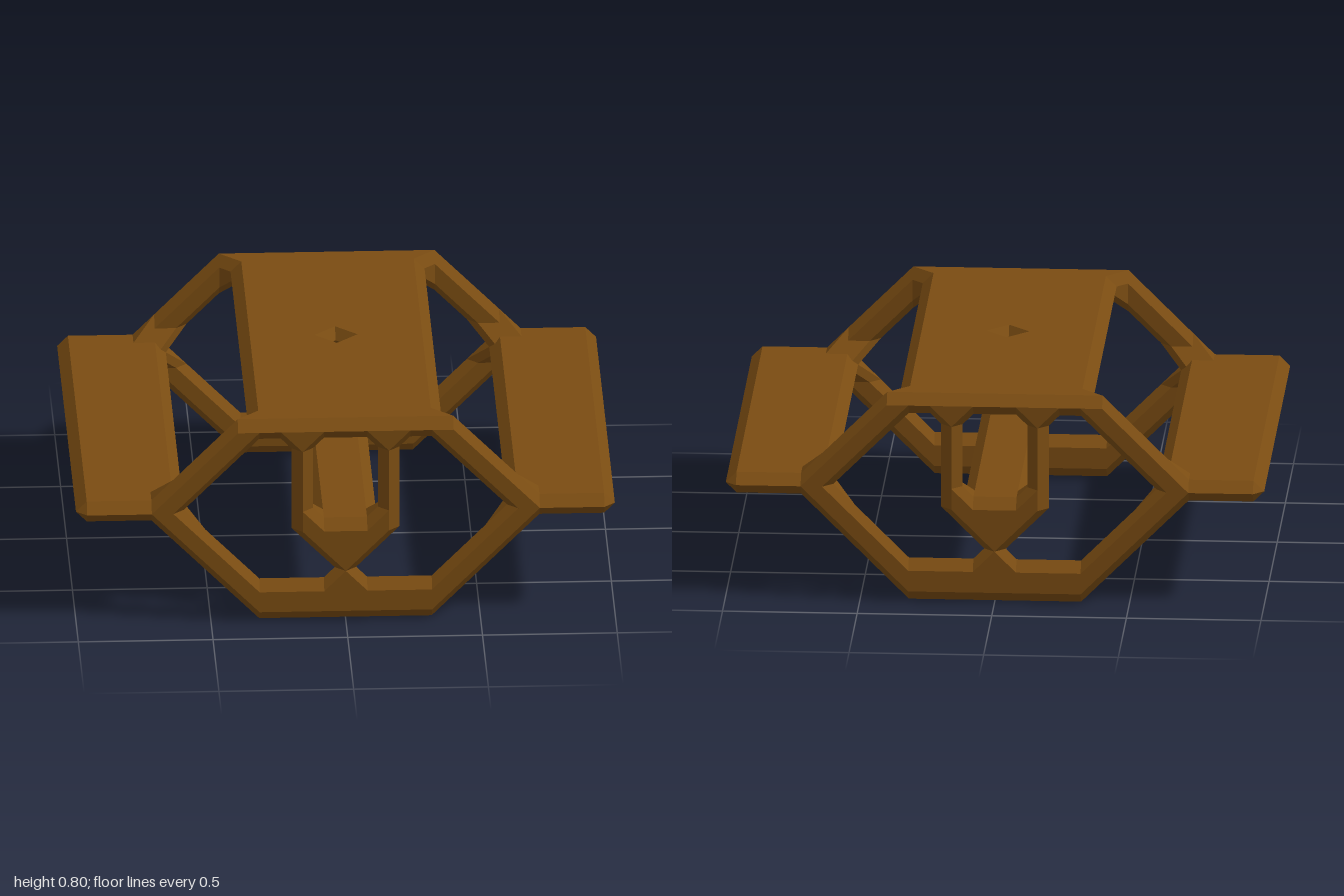
import * as THREE from 'three';
import { ConvexGeometry } from 'three/addons/geometries/ConvexGeometry.js';
import { mergeGeometries } from 'three/addons/utils/BufferGeometryUtils.js';

const R = 0.04; // chamfer radius shared by every edge
const END = 0.8, IN = 0.72; // frame centre plane, and where its gussets end

const material = new THREE.MeshStandardMaterial({ color: 0x7a4c12, flatShading: true });

// Convex solid: a flat skeleton thickened by a small octahedron, giving 45 degree chamfers
function solid(points) {
  const out = [];
  for (const [x, y, z] of points) {
    for (const s of [-R, R]) {
      out.push(new THREE.Vector3(x + s, y, z), new THREE.Vector3(x, y + s, z), new THREE.Vector3(x, y, z + s));
    }
  }
  return new ConvexGeometry(out);
}

const flip = (points, sx, sz) => points.map(([x, y, z]) => [x * sx, y, z * sz]);
const atEnd = (points) => points.map(([x, y]) => [x, y, END]);

function part(name, skeletons) {
  const mesh = new THREE.Mesh(mergeGeometries(skeletons.map(solid)), material);
  mesh.name = name;
  return mesh;
}

// Half of the end frame (x >= 0), drawn in the front plane
const frameSide = [
  [[0.32, 0.76], [0.4, 0.76], [0.72, 0.44], [0.64, 0.44]], // upper diagonal
  [[0.72, 0.44], [0.32, 0.04], [0.32, 0.12], [0.64, 0.44]], // lower diagonal
  [[0.16, 0.36], [0.16, 0.68]], // upright
  [[0.08, 0.76], [0.24, 0.76], [0.16, 0.68]], // upright head
  [[0.16, 0.44], [0.16, 0.36], [0.08, 0.36]], // upright foot
].map(atEnd);

// Centre pieces of the end frame
const frameCentre = [
  [[-0.32, 0.04], [0.32, 0.04], [0.32, 0.12], [-0.32, 0.12]], // bottom rail
  [[-0.08, 0.12], [0.08, 0.12], [0, 0.2]], // rail peak
  [[0, 0.2], [0.16, 0.36], [-0.16, 0.36]], // cradle
].map(atEnd);

// Corner gussets tying the frame to plate, beam and wings
const gussetSide = [
  [[0.32, 0.76, IN], [0.32, 0.76, END], [0.4, 0.76, END], [0.4, 0.68, END]],
  [[0.16, 0.68, END], [0.08, 0.76, END], [0.24, 0.76, END], [0.08, 0.76, IN], [0.24, 0.76, IN]],
  [[0.08, 0.36, IN], [0.08, 0.36, END], [0.16, 0.36, END], [0.16, 0.44, END]],
  ...[0.52, 0.36].map((y) => [
    [0.56, y, END], [0.64, y, END], [0.64, 0.44, END], [0.72, 0.44, END], [0.64, 0.44, IN], [0.72, 0.44, IN],
  ]),
];
const gussetCentre = [
  [[-0.08, 0.28, END], [0.08, 0.28, END], [-0.08, 0.36, IN], [0.08, 0.36, IN], [-0.16, 0.36, END], [0.16, 0.36, END]],
];

// Horizontal rectangle skeleton
const sheet = (x0, x1, z0, z1, y) => [[x0, y, z0], [x1, y, z0], [x1, y, z1], [x0, y, z1]];

export function createModel() {
  const group = new THREE.Group();
  const both = (list, sz) => [1, -1].flatMap((sx) => list.map((p) => flip(p, sx, sz)));

  // End frames
  for (const [sz, name] of [[1, 'front'], [-1, 'back']]) {
    const centre = (list) => list.map((p) => flip(p, 1, sz));
    group.add(part(name + 'Frame', [...both(frameSide, sz), ...centre(frameCentre)]));
    group.add(part(name + 'Gussets', [...both(gussetSide, sz), ...centre(gussetCentre)]));
  }

  // Top plate with a small diamond hole in the middle
  const plate = [];
  for (const s of [1, -1]) {
    plate.push(flip(sheet(0.08, 0.32, -END, END, 0.76), s, 1));
    plate.push(flip(sheet(-0.08, 0.08, 0.08, END, 0.76), 1, s));
    for (const t of [1, -1]) {
      plate.push(flip([[0.08, 0.76, 0], [0.08, 0.76, 0.08], [0, 0.76, 0.08]], s, t));
    }
  }
  group.add(part('topPlate', plate));

  // Lower beam and side wings
  group.add(part('centreBeam', [sheet(-0.08, 0.08, -END, END, 0.36)]));
  for (const [s, name] of [[1, 'leftWing'], [-1, 'rightWing']]) {
    group.add(part(name, [flip(sheet(0.64, 0.96, -END, END, 0.44), s, 1)]));
  }
  return group;
}
